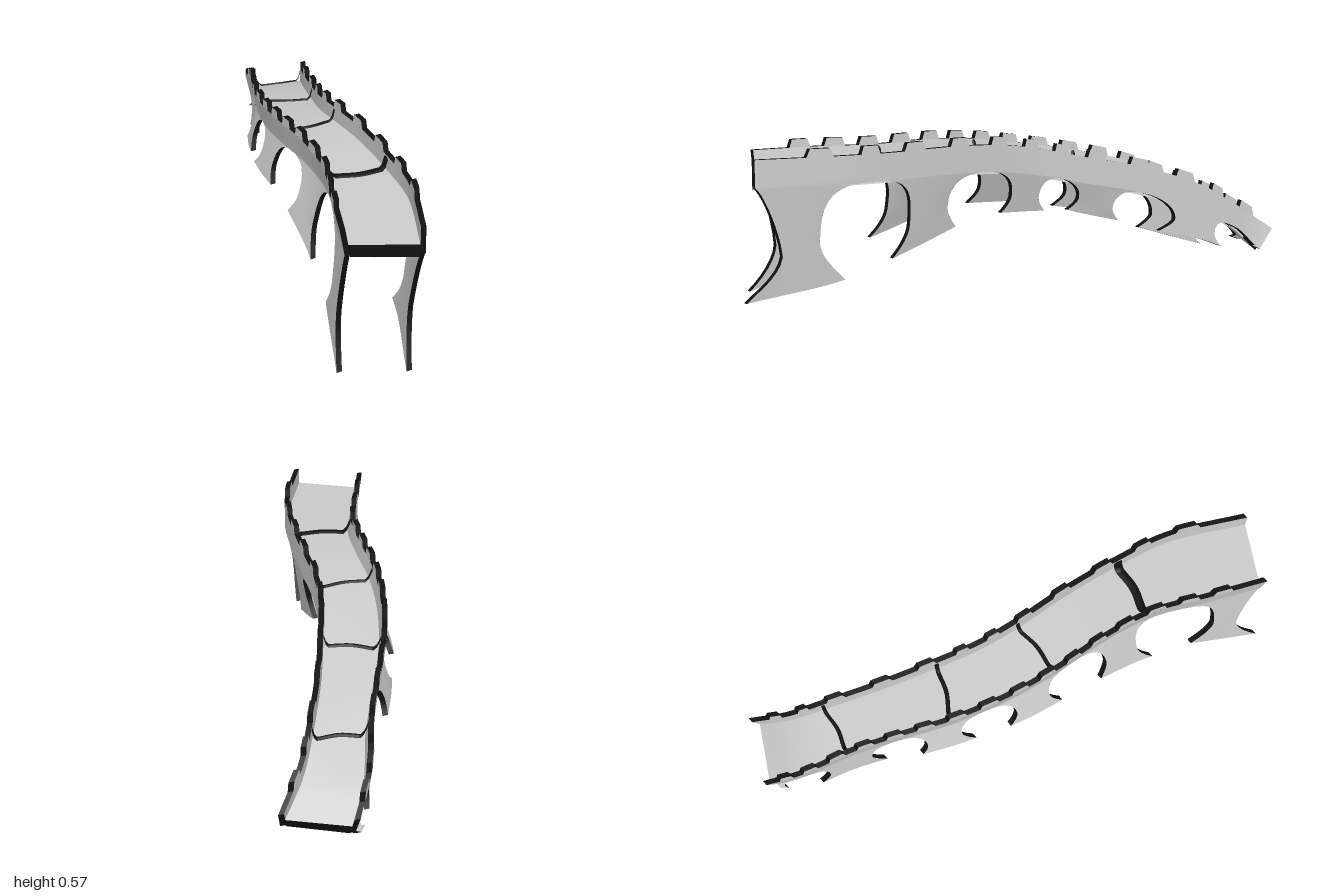
import * as THREE from 'three';

const { lerp, clamp } = THREE.MathUtils;
const grey = new THREE.MeshStandardMaterial({ color: 0xcccccc, side: THREE.DoubleSide });
const dark = new THREE.MeshStandardMaterial({ color: 0x111111, side: THREE.DoubleSide });

// Stations 0..10 along the bridge, front to back: parapet height and the two outer edges in plan
const topY = [0.528, 0.535, 0.537, 0.543, 0.534, 0.509, 0.475, 0.432, 0.363, 0.285, 0.187];
const rightEdge = [[-0.467, 0.86], [-0.38, 0.66], [-0.29, 0.46], [-0.25, 0.25], [-0.23, 0.06],
  [-0.19, -0.13], [-0.12, -0.33], [-0.03, -0.51], [0.06, -0.68], [0.13, -0.85], [0.22, -0.98]];
const leftEdge = [[-0.212, 0.98], [-0.085, 0.72], [-0.035, 0.51], [0, 0.28], [0.022, 0.07],
  [0.055, -0.09], [0.11, -0.24], [0.19, -0.44], [0.29, -0.64], [0.365, -0.76], [0.47, -0.87]];

const toCurve = (edge) => new THREE.CatmullRomCurve3(
  edge.map(([x, z], i) => new THREE.Vector3(x, topY[i], z)), false, 'catmullrom');
const sides = [
  { name: 'right', curve: toCurve(rightEdge), inward: 1, crownShift: 0.02, merlonStep: 0.58 },
  { name: 'left', curve: toCurve(leftEdge), inward: -1, crownShift: 0, merlonStep: 0.78 },
];
const THICK = 0.021;

// Each bay: pier foot, waist and arch-crown extents by station, squareness of the two arch flanks,
// then per side the two foot heights and the sideways shift of the foot
const bays = [
  { foot: [-0.08, 1.2], waist: [0.35, 0.8], crown: [0, 1.65], square: [1.3, 3.5],
    right: [0, 0.11, -0.012], left: [0.005, 0.08, -0.046] },
  { foot: [2.05, 3.15], waist: [2.3, 2.95], crown: [1.65, 3.65], square: [3.5, 2.6],
    right: [0.18, 0.26, -0.045], left: [0.143, 0.24, -0.043] },
  { foot: [4.05, 5.15], waist: [4.25, 4.95], crown: [3.65, 5.45], square: [2.6, 2.4],
    right: [0.28, 0.275, -0.035], left: [0.275, 0.272, -0.035] },
  { foot: [5.75, 6.75], waist: [5.95, 6.6], crown: [5.45, 7.1], square: [2.4, 2.4],
    right: [0.25, 0.22, -0.022], left: [0.27, 0.22, -0.036] },
  { foot: [7.35, 8.7], waist: [7.62, 8.5], crown: [7.1, 9.15], square: [2.4, 2.4],
    right: [0.16, 0.085, 0.012], left: [0.18, 0.115, 0] },
  { foot: [9.7, 10], waist: [9.8, 10], crown: [9.15, 10], square: [2.4, 2.4],
    right: [0.11, 0.1, 0], left: [0.12, 0.11, 0] },
];

// Point on a parapet's outer top edge, continued straight past the front end
function edgePoint(side, s) {
  const p = side.curve.getPoint(clamp(s / 10, 0, 1));
  if (s < 0) p.addScaledVector(side.curve.getTangent(0), s * 0.22);
  return p;
}

// Depth of the solid band between arch crown and parapet top
const bandDepth = (s) => lerp(0.1, 0.078, clamp((s - 8) / 2, 0, 1));

// Slant of the sloping back end, which stays square to the road
function slantEnd(p, s, amount) {
  const k = clamp((s - 9.2) / 0.8, 0, 1) * amount;
  p.x -= 0.02 * k;
  p.z += 0.042 * k;
}

// Rectangular patch whose vertices are placed by f(u, v)
function patch(name, nu, nv, f, material) {
  const geo = new THREE.PlaneGeometry(1, 1, nu, nv);
  const uv = geo.attributes.uv;
  for (let i = 0; i < uv.count; i++) {
    const p = f(uv.getX(i), uv.getY(i));
    geo.attributes.position.setXYZ(i, p.x, p.y, p.z);
  }
  geo.computeVertexNormals();
  const mesh = new THREE.Mesh(geo, material);
  mesh.name = name;
  return mesh;
}

// Wall surface: v 0-0.3 flared foot, 0.3-0.8 arch flank, 0.8-1 solid band; w runs through the thickness
function wallPoint(side, bay, u, v, w) {
  const k = Math.sin(clamp((v - 0.3) / 0.5, 0, 1) * Math.PI / 2);
  const t = v < 0.3 ? 0.4 * v / 0.3 : 0.4 + 0.6 * k;
  const extent = (i) => {
    if (v < 0.3) return lerp(bay.waist[i], bay.foot[i], Math.pow(1 - t / 0.4, 1.7));
    const n = bay.square[i];
    const arch = 1 - Math.pow(Math.max(0, 1 - Math.pow(k, n)), 1 / n);
    return lerp(bay.waist[i], bay.crown[i], k > 0.9999 ? 1 : arch);
  };
  const s = lerp(extent(0), extent(1), u);
  const p = edgePoint(side, s);
  const crownY = p.y - bandDepth(s);
  const [frontY, backY, footShift] = bay[side.name];
  const band = clamp((v - 0.8) / 0.2, 0, 1);
  p.x += lerp(footShift, side.crownShift, t) * (1 - band) + side.inward * THICK * w;
  p.y = band > 0 ? lerp(crownY, p.y, band) : lerp(lerp(frontY, backY, u), crownY, t);
  slantEnd(p, s, 1 - band);
  return p;
}

function buildBay(side, bay, index) {
  const g = new THREE.Group();
  g.name = `${side.name}ArchBay${index + 1}`;
  const at = (u, v, w) => wallPoint(side, bay, u, v, w);
  g.add(patch('outerFace', 14, 20, (u, v) => at(u, v, 0), grey));
  g.add(patch('innerFace', 14, 20, (u, v) => at(u, v, 1), grey));
  g.add(patch('parapetTop', 14, 1, (u, v) => at(u, 1, v), dark));
  g.add(patch('footBase', 14, 1, (u, v) => at(u, 0, v), dark));
  // Arch linings; at the bridge ends they reach the parapet top
  const frontEnd = index === 0 ? 1 : 0.8, backEnd = index === bays.length - 1 ? 1 : 0.8;
  g.add(patch('frontLining', 1, 20, (u, v) => at(0, v * frontEnd, u), dark));
  g.add(patch('backLining', 1, 20, (u, v) => at(1, v * backEnd, u), dark));
  return g;
}

// Tapered block standing on the parapet from station a to b
function buildMerlon(side, a, b) {
  const g = new THREE.Group();
  g.name = `${side.name}Merlon`;
  const at = (u, v, w) => {
    const taper = 0.05 * v;
    const p = edgePoint(side, lerp(a + taper, b - taper, u));
    p.x += side.inward * THICK * w;
    p.y += lerp(-0.004, 0.03, v);
    return p;
  };
  for (const w of [0, 1]) g.add(patch('merlonFace', 3, 1, (u, v) => at(u, v, w), grey));
  for (const e of [0, 1]) g.add(patch('merlonEnd', 1, 1, (u, v) => at(e, v, u), dark));
  g.add(patch('merlonTop', 3, 1, (u, v) => at(u, 1, v), dark));
  return g;
}

// Point across the deck: u from right to left, drop as a share of the band depth
function deckPoint(u, s, drop) {
  const [a, b] = sides.map((side) => {
    const p = edgePoint(side, s);
    p.x += side.inward * THICK * 0.9 + side.crownShift * drop;
    p.y -= bandDepth(s) * drop;
    slantEnd(p, s, drop);
    return p;
  });
  return a.lerp(b, u);
}

function buildDeck() {
  const g = new THREE.Group();
  g.name = 'deck';
  // The roadway rises slightly towards the parapet top over the first stations
  const roadDrop = (s) => lerp(0.63, 0.54, clamp(s / 2, 0, 1));
  const BOTTOM = 1.1;
  g.add(patch('roadway', 4, 60, (u, v) => deckPoint(u, v * 10, roadDrop(v * 10)), grey));
  g.add(patch('underside', 4, 60, (u, v) => deckPoint(u, v * 10, BOTTOM), grey));
  for (const s of [0, 10]) {
    g.add(patch('deckEnd', 4, 1, (u, v) => deckPoint(u, s, lerp(BOTTOM, roadDrop(s), v)), dark));
  }
  // Raised cross ribs, bowed along the road and curling up the parapets
  [2, 4, 6, 8].forEach((s0, i) => {
    const width = i === 0 ? 0.15 : 0.08;
    g.add(patch('crossRib', 20, 4, (u, v) => {
      const s = s0 + 0.06 * Math.cos(Math.PI * u) ** 2 + (v - 0.5) * width;
      const curl = Math.max(0, Math.abs(2 * u - 1) - 0.8) / 0.2;
      const p = deckPoint(u, s, roadDrop(s) * (1 - 0.9 * curl * curl));
      p.y += v === 0 || v === 1 ? 0 : 0.006;
      return p;
    }, dark));
  });
  return g;
}

export function createModel() {
  const model = new THREE.Group();
  model.name = 'archedBridge';
  for (const side of sides) {
    const wall = new THREE.Group();
    wall.name = `${side.name}Wall`;
    bays.forEach((bay, i) => wall.add(buildBay(side, bay, i)));
    for (let s = 0.6; s < 9.6; s += side.merlonStep) wall.add(buildMerlon(side, s, s + 0.36));
    model.add(wall);
  }
  model.add(buildDeck());
  return model;
}
